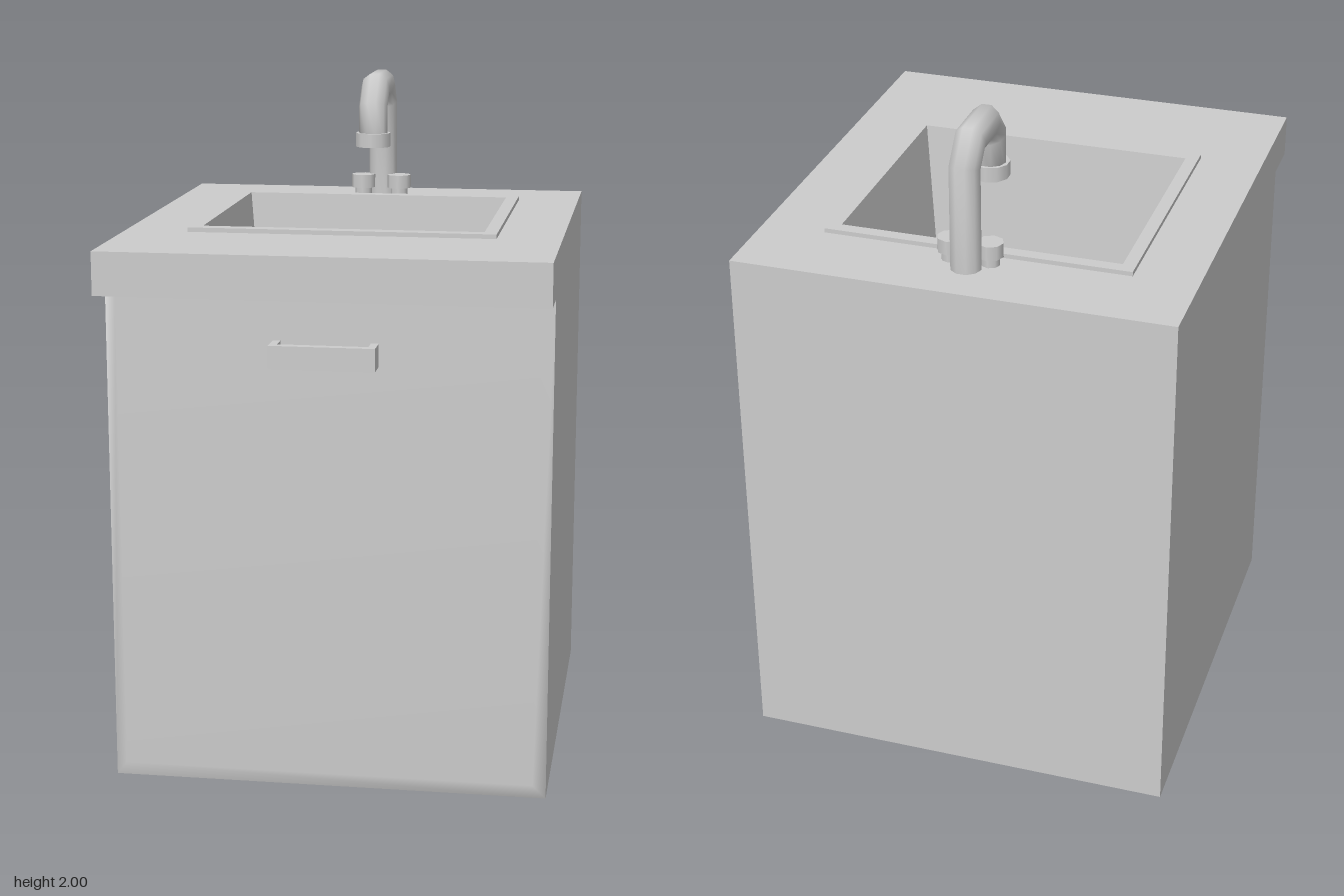
import * as THREE from 'three';

const steel = new THREE.MeshStandardMaterial({ color: 0xcccccc });
steel.name = 'light grey';

// Skin between rings of points, closed at the last ring
function loft(rings, smooth) {
  const n = rings[0].length, index = [];
  for (let i = 0; i < rings.length - 1; i++) {
    for (let j = 0; j < n; j++) {
      const a = i * n + j, b = i * n + (j + 1) % n;
      index.push(a, b, a + n, b, b + n, a + n);
    }
  }
  const end = (rings.length - 1) * n;
  for (let j = 1; j < n - 1; j++) index.push(end, end + j, end + j + 1);
  let g = new THREE.BufferGeometry();
  g.setAttribute('position', new THREE.Float32BufferAttribute(rings.flat(2), 3));
  g.setIndex(index);
  if (!smooth) g = g.toNonIndexed();
  g.computeVertexNormals();
  return g;
}

// Round pipe with mitred bends; path holds [y, z] points at x = 0
function pipe(path, radius, sides) {
  const pts = path.map(([y, z]) => new THREE.Vector2(y, z));
  return loft(pts.map((p, i) => {
    const before = p.clone().sub(pts[Math.max(i - 1, 0)]).normalize();
    const after = pts[Math.min(i + 1, pts.length - 1)].clone().sub(p).normalize();
    const t = before.clone().add(after).normalize();
    const stretch = radius / Math.max(t.dot(before), t.dot(after));
    return Array.from({ length: sides }, (_, j) => {
      const a = j / sides * Math.PI * 2, v = Math.sin(a) * stretch;
      return [Math.cos(a) * radius, p.x + t.y * v, p.y - t.x * v];
    });
  }), true);
}

// Level rectangle ring
const level = (y, x, back, front) => [[-x, y, front], [x, y, front], [x, y, back], [-x, y, back]];
// Upright rectangle ring
const upright = (z, x, low, high) => [[-x, low, z], [x, low, z], [x, high, z], [-x, high, z]];

export function createModel() {
  const model = new THREE.Group();
  model.name = 'sinkCabinet';

  const add = (name, geometry, x = 0, y = 0, z = 0) => {
    const mesh = new THREE.Mesh(geometry, steel);
    mesh.name = name;
    mesh.position.set(x, y, z);
    model.add(mesh);
    return mesh;
  };

  // Cabinet box, open at the top so the basin can hang inside
  const box = new THREE.BoxGeometry(1.274, 1.47, 1.28);
  const faces = Array.from(box.index.array);
  faces.splice(12, 6);
  box.setIndex(faces);
  box.clearGroups();
  add('cabinet', box, 0, 0.735, -0.07);

  // Door with softly bevelled sides and bottom
  add('door', loft([upright(0.57, 0.637, 0, 1.47), upright(0.6, 0.6, 0.05, 1.47)], true));

  // Countertop with the sink cut-out
  const top = new THREE.Shape();
  top.moveTo(-0.637, -0.71).lineTo(0.637, -0.71).lineTo(0.637, 0.71).lineTo(-0.637, 0.71).closePath();
  const cut = new THREE.Path();
  cut.moveTo(-0.43, -0.31).lineTo(-0.43, 0.45).lineTo(0.43, 0.45).lineTo(0.43, -0.31).closePath();
  top.holes.push(cut);
  const slab = new THREE.ExtrudeGeometry(top, { depth: 0.125, bevelEnabled: false });
  add('countertop', slab.rotateX(-Math.PI / 2), 0, 1.47, 0);

  // Raised rim and tapered basin
  add('basin', loft([
    level(1.59, 0.45, -0.47, 0.33),
    level(1.608, 0.45, -0.47, 0.33),
    level(1.608, 0.412, -0.432, 0.29),
    level(1.12, 0.37, -0.395, 0.252),
  ], false));

  // Door handle
  add('handleBar', new THREE.BoxGeometry(0.3, 0.066, 0.025), 0, 1.304, 0.662);
  for (const s of [-1, 1]) {
    add(s > 0 ? 'leftHandlePost' : 'rightHandlePost',
      new THREE.BoxGeometry(0.022, 0.066, 0.06), s * 0.139, 1.304, 0.625);
  }

  // Tap
  add('spout', pipe([[1.59, -0.555], [1.895, -0.555], [1.956, -0.505],
    [1.956, -0.38], [1.9, -0.33], [1.79, -0.33]], 0.045, 10));
  add('nozzle', new THREE.CylinderGeometry(0.055, 0.055, 0.043, 10), 0, 1.797, -0.33);
  for (const s of [-1, 1]) {
    const side = s > 0 ? 'left' : 'right';
    add(side + 'KnobStem', new THREE.CylinderGeometry(0.027, 0.027, 0.04, 8), s * 0.058, 1.61, -0.515);
    add(side + 'Knob', new THREE.CylinderGeometry(0.038, 0.038, 0.042, 8), s * 0.058, 1.643, -0.515);
  }

  return model;
}
